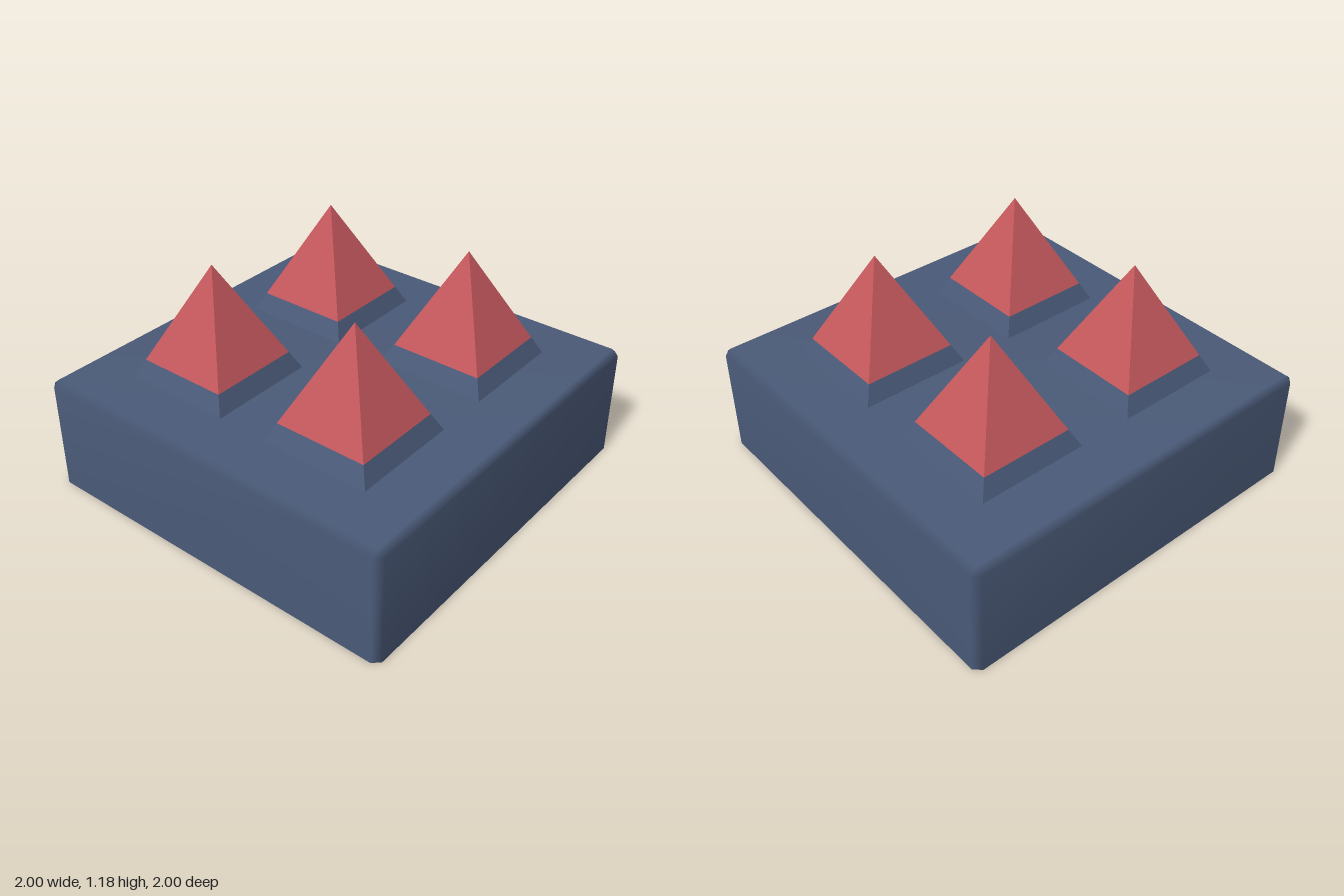
import * as THREE from 'three';

export function createModel() {
  const slate = new THREE.MeshStandardMaterial({ color: 0x4a5a78, side: THREE.DoubleSide });
  slate.name = 'slateBlue';
  const red = new THREE.MeshStandardMaterial({ color: 0xc4585c, side: THREE.DoubleSide });
  red.name = 'spikeRed';

  const group = new THREE.Group();
  const add = (name, geometry, material, x = 0, y = 0, z = 0) => {
    const mesh = new THREE.Mesh(geometry, material);
    mesh.name = name;
    mesh.position.set(x, y, z);
    group.add(mesh);
  };

  add('baseShell', shellGeometry(1, 0.965, 0.57, 0.6), slate);

  // Four spikes, each a slate skirt with a red point
  const skirt = squareTaper(0.287, 0.242, 0.09);
  const point = squareTaper(0.242, 0, 0.49);
  for (const x of [-0.43, 0.43]) {
    for (const z of [-0.42, 0.42]) {
      add('spikeSkirt', skirt, slate, x, 0.6, z);
      add('spikePoint', point, red, x, 0.69, z);
    }
  }
  return group;
}

// Square frustum or pyramid standing on y = 0, with flat faces
function squareTaper(bottom, top, height) {
  const r = Math.SQRT2;
  const g = new THREE.CylinderGeometry(top * r, bottom * r, height, 4, 1, true)
    .rotateY(Math.PI / 4)
    .translate(0, height / 2, 0)
    .toNonIndexed();
  g.computeVertexNormals();
  return g;
}

// Open-bottomed box with bevelled corners and top edge, smoothly shaded
function shellGeometry(outer, inner, wallTop, top) {
  const ring = [];
  const corners = [];
  let pair = [[inner, outer], [outer, inner]];
  let corner = [inner, inner];
  const turn = ([x, z]) => [z, -x];
  for (let i = 0; i < 4; i++) {
    ring.push(...pair);
    corners.push(corner);
    pair = pair.map(turn);
    corner = turn(corner);
  }
  const positions = [];
  for (const y of [0, wallTop]) ring.forEach(([x, z]) => positions.push(x, y, z));
  corners.forEach(([x, z]) => positions.push(x, top, z));

  const index = [];
  for (let a = 0; a < 8; a++) {
    const b = (a + 1) % 8;
    const ta = 16 + Math.floor(a / 2);
    const tb = 16 + Math.floor(b / 2);
    index.push(a, b, b + 8, a, b + 8, a + 8); // wall
    index.push(a + 8, b + 8, tb); // bevel
    if (ta !== tb) index.push(a + 8, tb, ta);
  }
  index.push(16, 17, 18, 16, 18, 19); // top panel

  const g = new THREE.BufferGeometry();
  g.setAttribute('position', new THREE.Float32BufferAttribute(positions, 3));
  g.setIndex(index);
  g.computeVertexNormals();
  return g;
}
